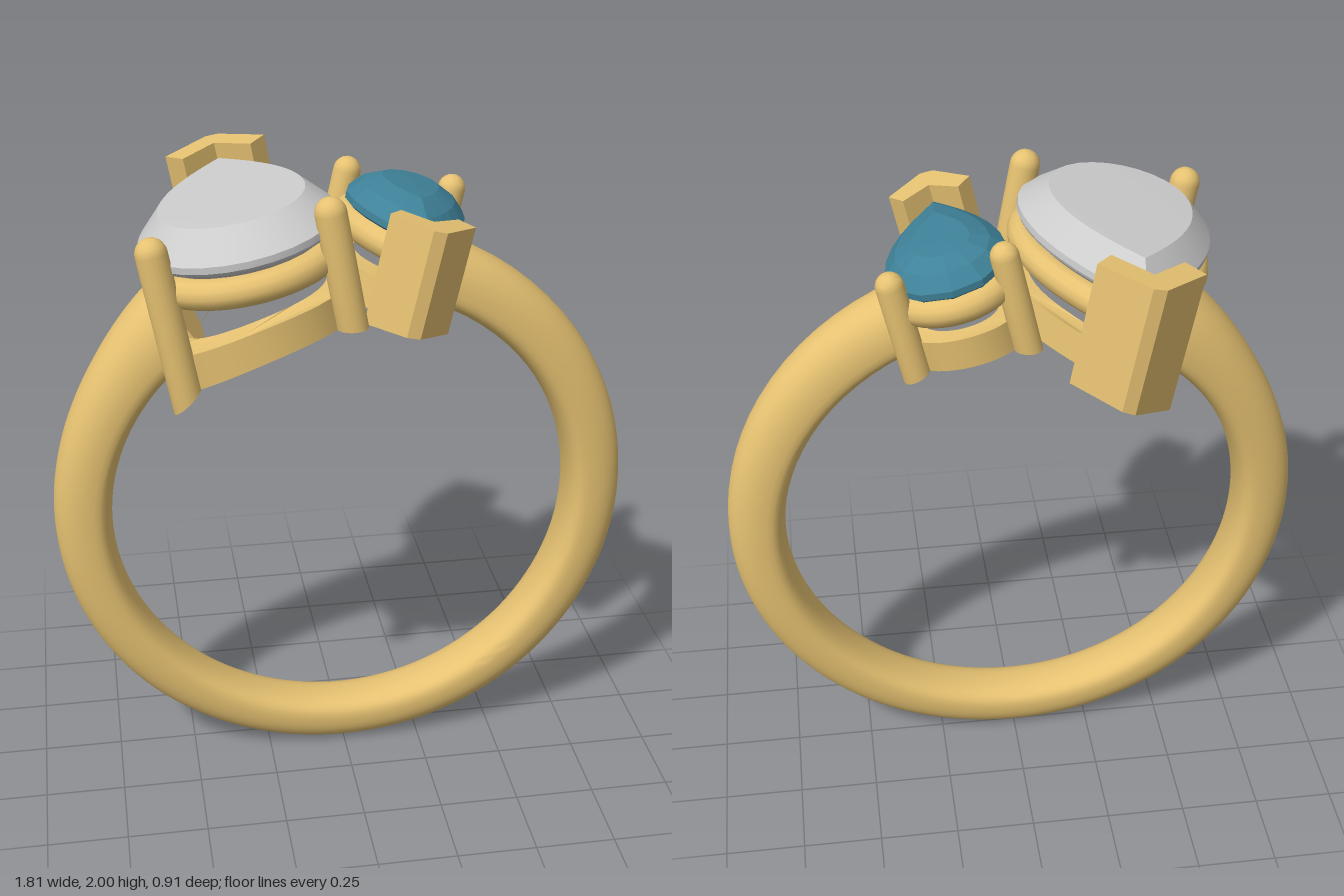
import * as THREE from 'three';
import { toCreasedNormals } from 'three/addons/utils/BufferGeometryUtils.js';

const GOLD = new THREE.MeshStandardMaterial({ color: 0xe6c272 });
const CLEAR = new THREE.MeshStandardMaterial({ color: 0xcccccc });
const TEAL = new THREE.MeshStandardMaterial({ color: 0x3f8299 });
const FINGER_Y = 0.89, FINGER_R = 0.727;

function addMesh(parent, name, geo, material, crease = 0.6) {
  geo.deleteAttribute('normal');
  const mesh = new THREE.Mesh(toCreasedNormals(geo, crease), material);
  mesh.name = name;
  parent.add(mesh);
  return mesh;
}

// Skin over a list of closed rings; a ring may shrink to a single point
function loft(rings) {
  const pos = [];
  const tri = (a, b, c) => {
    if (a.distanceTo(b) < 1e-6 || b.distanceTo(c) < 1e-6 || c.distanceTo(a) < 1e-6) return;
    for (const p of [a, b, c]) pos.push(p.x, p.y, p.z);
  };
  for (let i = 0; i < rings.length - 1; i++) {
    const lo = rings[i], hi = rings[i + 1], n = lo.length;
    for (let j = 0; j < n; j++) {
      const k = (j + 1) % n;
      tri(lo[j], hi[j], lo[k]);
      tri(lo[k], hi[j], hi[k]);
    }
  }
  const geo = new THREE.BufferGeometry();
  geo.setAttribute('position', new THREE.Float32BufferAttribute(pos, 3));
  return geo;
}

// Pear outline in plan (x, z): pointed at z = tip, round at z = end
function pear({ hw, tip, wide, end }, n) {
  const pts = [], L = wide - tip;
  for (let i = 0; i < n; i++) {
    const a = Math.PI * i / n;
    pts.push(new THREE.Vector2(hw * Math.cos(a), wide + (end - wide) * Math.sin(a)));
  }
  const side = new THREE.CubicBezierCurve(
    new THREE.Vector2(-hw, wide), new THREE.Vector2(-hw, wide - 0.45 * L),
    new THREE.Vector2(-0.36 * hw, tip + 0.2 * L), new THREE.Vector2(0, tip)).getPoints(n);
  pts.push(...side.slice(0, n));
  for (let i = n; i > 0; i--) pts.push(new THREE.Vector2(-side[i].x, side[i].y));
  return pts;
}

// Upright prism over a plan, with a rule for its bottom and top heights
function prism(plan, hole, bottom, top) {
  const flip = pts => pts.map(p => new THREE.Vector2(p.x, -p.y));
  const shape = new THREE.Shape(flip(plan));
  if (hole) shape.holes.push(new THREE.Path(flip(hole)));
  const geo = new THREE.ExtrudeGeometry(shape, { depth: 1, bevelEnabled: false });
  geo.rotateX(-Math.PI / 2);
  const p = geo.attributes.position;
  for (let i = 0; i < p.count; i++) p.setY(i, p.getY(i) > 0.5 ? top(p.getX(i)) : bottom(p.getX(i)));
  return geo;
}

// Pear stone with its seat, curved under-rail, two round prongs and a V prong
function createSetting(o) {
  const g = new THREE.Group();
  g.name = o.name;
  g.position.set(...o.position);
  g.rotation.set(...o.rotation);
  const c = g.worldToLocal(new THREE.Vector3(0, FINGER_Y, 0));
  const arc = r => x => c.y + Math.sqrt(r * r - (x - c.x) ** 2);
  const cut = arc(FINGER_R);
  const mid = 0.15 * o.pear.end;
  const scaled = (pts, s) => pts.map(p => new THREE.Vector2(p.x * s, mid + (p.y - mid) * s));

  // stone: culet, girdle, crown, table
  const outline = pear(o.pear, o.facets);
  const rings = o.layers.map(([s, y]) => scaled(outline, s).map(p => new THREE.Vector3(p.x, y, p.y)));
  addMesh(g, 'stone', loft(rings), o.material, o.crease);

  // seat ring under the stone
  const smooth = pear(o.pear, 20);
  const seatPath = new THREE.CatmullRomCurve3(
    scaled(smooth, o.seatScale).map(p => new THREE.Vector3(p.x, o.seatY, p.y)), true);
  addMesh(g, 'seat', new THREE.TubeGeometry(seatPath, 90, 0.045, 12, true), GOLD, 0.9);

  // rail resting on the finger curve
  addMesh(g, 'rail', prism(scaled(smooth, 0.98), scaled(smooth, o.railHole), cut, arc(0.825)), GOLD);

  // round prongs, cut off along the finger curve
  for (const s of [-1, 1]) {
    const r = o.prongR, geo = new THREE.CapsuleGeometry(r, 1, 6, 18);
    geo.translate(s * o.prong[0], 0, o.prong[1]);
    const p = geo.attributes.position;
    for (let i = 0; i < p.count; i++) {
      const y = p.getY(i);
      p.setY(i, y > 0 ? y + o.prongTop - 0.5 - r : cut(p.getX(i)));
    }
    addMesh(g, s < 0 ? 'prongA' : 'prongB', geo, GOLD, 0.8);
  }

  // V prong hugging the point
  const [apex, outX, outZ, inX, inZ, notch] = o.vee;
  const plan = [[0, notch], [inX, inZ], [outX, outZ], [0.02, apex + 0.006], [-0.02, apex + 0.006],
    [-outX, outZ], [-inX, inZ]].map(([x, z]) => new THREE.Vector2(x, z));
  addMesh(g, 'vProng', prism(plan, null, cut, () => o.veeTop), GOLD, 0.3);
  return g;
}

// Tapered open band running from the left shoulder round to the right one
function createBand(parent) {
  // degrees, half width, outer radius
  const keys = new THREE.CatmullRomCurve3([
    [125, 0.15, 0.965], [146, 0.125, 0.922], [180, 0.1, 0.905], [225, 0.092, 0.895], [270, 0.09, 0.888],
    [315, 0.093, 0.895], [360, 0.1, 0.905], [428, 0.105, 0.925],
  ].map(k => new THREE.Vector3(...k)));
  const rings = [], N = 110, M = 32;
  const pow = (v, e) => Math.sign(v) * Math.abs(v) ** e;
  for (let i = 0; i <= N; i++) {
    const k = keys.getPoint(i / N), a = THREE.MathUtils.degToRad(k.x);
    const mid = FINGER_R + 0.06, ring = [];
    for (let j = 0; j < M; j++) {
      const f = 2 * Math.PI * j / M, u = Math.cos(f);
      const r = u > 0 ? mid + (k.z - mid) * pow(u, 0.9) : mid + (mid - FINGER_R) * pow(u, 0.75);
      ring.push(new THREE.Vector3(r * Math.cos(a), FINGER_Y + r * Math.sin(a), 0.037 + k.y * pow(Math.sin(f), 0.85)));
    }
    rings.push(ring);
  }
  // close both ends
  const cap = ring => {
    const m = ring.reduce((s, p) => s.add(p), new THREE.Vector3()).divideScalar(M);
    return ring.map(() => m);
  };
  addMesh(parent, 'band', loft([cap(rings[0]), ...rings, cap(rings[N])]), GOLD, 0.9);
}

export function createModel() {
  const model = new THREE.Group();
  model.name = 'twoStoneRing';
  createBand(model);
  model.add(createSetting({
    name: 'largeSetting', position: [-0.32, 1.87, 0], rotation: [0, 0, 0.18],
    pear: { hw: 0.29, tip: -0.36, wide: 0.16, end: 0.45 }, facets: 14, material: CLEAR, crease: 0.3,
    layers: [[0, -0.22], [0.5, -0.13], [0.98, -0.03], [1, -0.02], [1, 0], [0.74, 0.075], [0, 0.078]],
    seatScale: 0.9, seatY: -0.095, railHole: 0.78,
    prong: [0.252, 0.345], prongR: 0.046, prongTop: 0.09,
    vee: [-0.455, 0.155, -0.335, 0.105, -0.275, -0.365], veeTop: 0.088,
  }));
  model.add(createSetting({
    name: 'smallSetting', position: [0.2, 1.855, 0], rotation: [0, Math.PI, 0.22],
    pear: { hw: 0.18, tip: -0.34, wide: 0.03, end: 0.21 }, facets: 6, material: TEAL, crease: 0.04,
    layers: [[0, -0.15], [0.55, -0.09], [1, -0.02], [1, 0], [0.78, 0.04], [0.48, 0.066], [0, 0.07]],
    seatScale: 0.88, seatY: -0.07, railHole: 0.66,
    prong: [0.166, 0.145], prongR: 0.042, prongTop: 0.072,
    vee: [-0.43, 0.125, -0.325, 0.085, -0.275, -0.335], veeTop: 0.06,
  }));
  return model;
}
